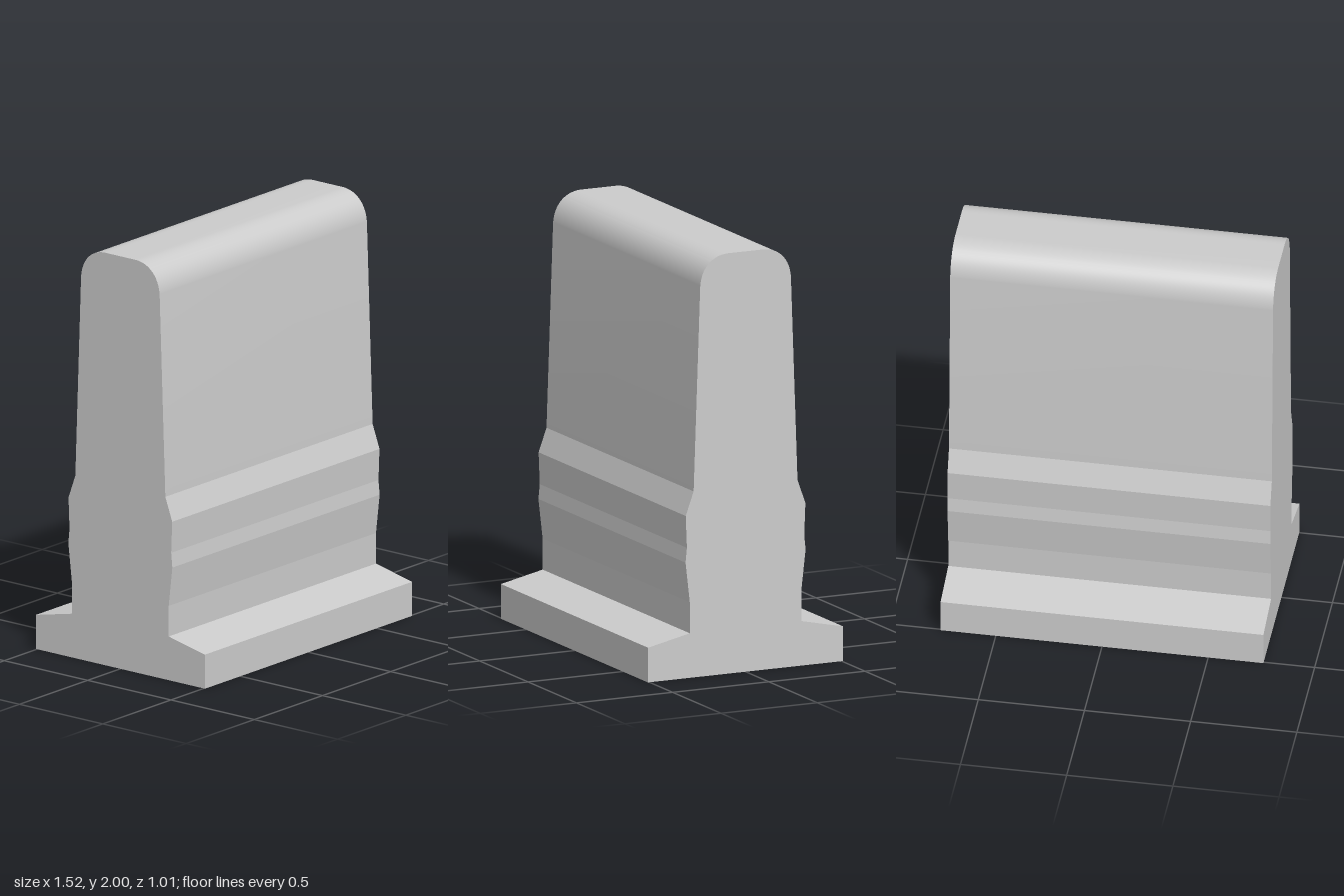
import * as THREE from 'three';
import { toCreasedNormals } from 'three/addons/utils/BufferGeometryUtils.js';

const WIDTH = 1.52;

// Half of the cross-section, from the foot up to the rounded crown: [z, y]
const HALF_PROFILE = [
  [0.507, 0], [0.507, 0.165],   // foot edge
  [0.29, 0.212], [0.29, 0.36],  // sloped foot top, neck
  [0.312, 0.55], [0.305, 0.62], // lower bulge
  [0.311, 0.772], [0.27, 0.885], // upper bulge and shoulder
  [0.236, 1.85],                // tapering wall
];

export function createModel() {
  const group = new THREE.Group();
  group.name = 'barrierBlock';

  // Rounded crown corner, tangent to the wall and the flat top
  const crown = new THREE.CubicBezierCurve(
    new THREE.Vector2(0.236, 1.85),
    new THREE.Vector2(0.232, 1.945),
    new THREE.Vector2(0.17, 2),
    new THREE.Vector2(0.088, 2),
  ).getSpacedPoints(24).slice(1);

  const half = [...HALF_PROFILE.map(([z, y]) => new THREE.Vector2(z, y)), ...crown];
  const mirrored = half.map((p) => new THREE.Vector2(-p.x, p.y)).reverse();

  // Full symmetric section swept across the width
  const geometry = new THREE.ExtrudeGeometry(new THREE.Shape([...half, ...mirrored]), {
    depth: WIDTH,
    bevelEnabled: false,
  });
  geometry.translate(0, 0, -WIDTH / 2);
  geometry.rotateY(Math.PI / 2);

  const body = new THREE.Mesh(
    toCreasedNormals(geometry, 0.1),
    new THREE.MeshStandardMaterial({ color: 0xcccccc }),
  );
  body.name = 'profiledBody';
  group.add(body);
  return group;
}
